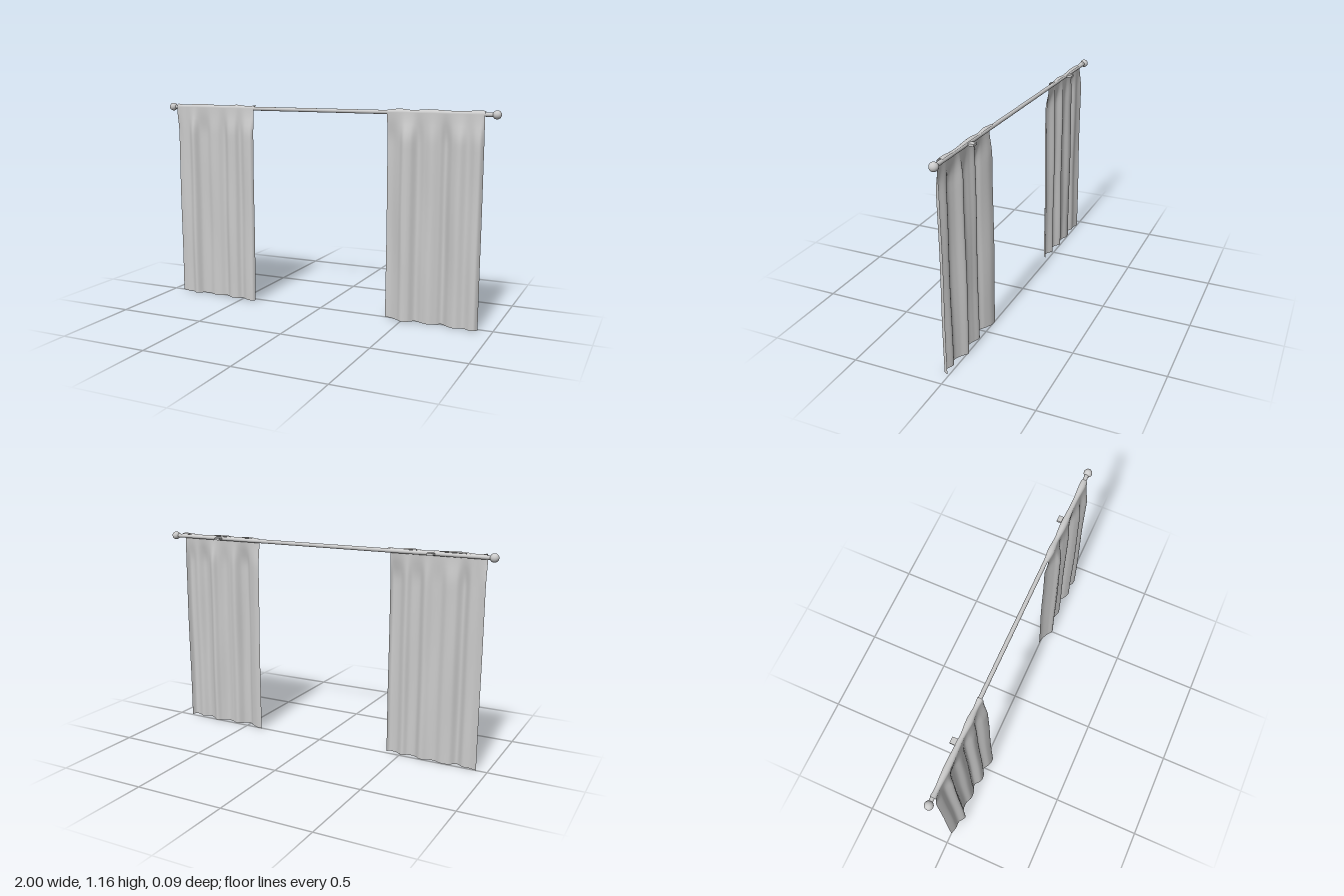
import * as THREE from 'three';

const ROD_Y = 1.135, ROD_Z = -0.003;
const mat = new THREE.MeshStandardMaterial({ color: 0xcccccc, side: THREE.DoubleSide });

// Depth of the folds across each panel: [x, z] at the hem
const rightFolds = [[-0.94, 0], [-0.9, 0.012], [-0.86, 0.013], [-0.82, 0.036], [-0.785, 0.008], [-0.74, 0.004],
  [-0.7, 0.02], [-0.66, 0.018], [-0.62, 0.004], [-0.58, 0.03], [-0.54, 0.03], [-0.51, 0.012], [-0.47, 0.034], [-0.43, 0.04], [-0.415, 0.024]];
const leftFolds = [[0.395, -0.004], [0.43, 0.002], [0.47, 0.022], [0.5, 0.042], [0.535, 0.034], [0.57, 0.004],
  [0.61, 0.018], [0.65, 0.029], [0.69, 0.012], [0.72, -0.006], [0.76, 0.022], [0.8, 0.036], [0.84, 0.018], [0.88, 0.034], [0.905, 0.034], [0.92, 0.01]];

// Cloth sheet: hanging folds that draw together at the top and curl over the rod
function makeCurtain(name, folds) {
  const nu = 120, hang = 36, curl = 14, nv = hang + curl;
  const profile = new THREE.SplineCurve(folds.map(([x, z]) => new THREE.Vector2(x, z)));
  const geo = new THREE.PlaneGeometry(1, 1, nu, nv);
  const pos = geo.attributes.position;
  for (let j = 0; j <= nv; j++) {
    for (let i = 0; i <= nu; i++) {
      const p = profile.getPoint(i / nu);
      const puff = 0.5 + 0.5 * Math.sin(p.x * 31 + Math.sin(p.x * 13));
      const r = 0.014 + 0.006 * puff;
      let y, z;
      if (j <= hang) {
        y = ROD_Y * j / hang;
        // folds wander slightly with height
        const sway = 0.003 * Math.sin(y * 5 + p.x * 22) * Math.sin(Math.PI * Math.min(y, 1));
        const t = THREE.MathUtils.smoothstep(y, 0.98, ROD_Y);
        z = THREE.MathUtils.lerp(Math.min(0.043, Math.max(-0.008, p.y + sway)), ROD_Z + r, t);
      } else {
        const a = (j - hang) / curl * 2.3;
        y = ROD_Y + r * Math.sin(a);
        z = ROD_Z + r * Math.cos(a);
      }
      pos.setXYZ(j * (nu + 1) + i, p.x, y, z);
    }
  }
  geo.computeVertexNormals();
  const mesh = new THREE.Mesh(geo, mat);
  mesh.name = name;
  return mesh;
}

export function createModel() {
  const model = new THREE.Group();
  model.name = 'curtains';
  const add = (name, geo, x, y, z) => {
    const mesh = new THREE.Mesh(geo, mat);
    mesh.name = name;
    mesh.position.set(x, y, z);
    model.add(mesh);
    return mesh;
  };

  add('rod', new THREE.CylinderGeometry(0.011, 0.011, 1.92, 24), 0, ROD_Y, ROD_Z).rotation.z = Math.PI / 2;

  // Ball ends and wall brackets
  for (const [side, s] of [['right', -1], ['left', 1]]) {
    add(side + 'Finial', new THREE.SphereGeometry(0.023, 28, 18), s * 0.977, ROD_Y, ROD_Z);
    add(side + 'Bracket', new THREE.BoxGeometry(0.034, 0.012, 0.04), s * 0.655, ROD_Y, -0.023);
  }

  model.add(makeCurtain('rightCurtain', rightFolds), makeCurtain('leftCurtain', leftFolds));
  return model;
}
